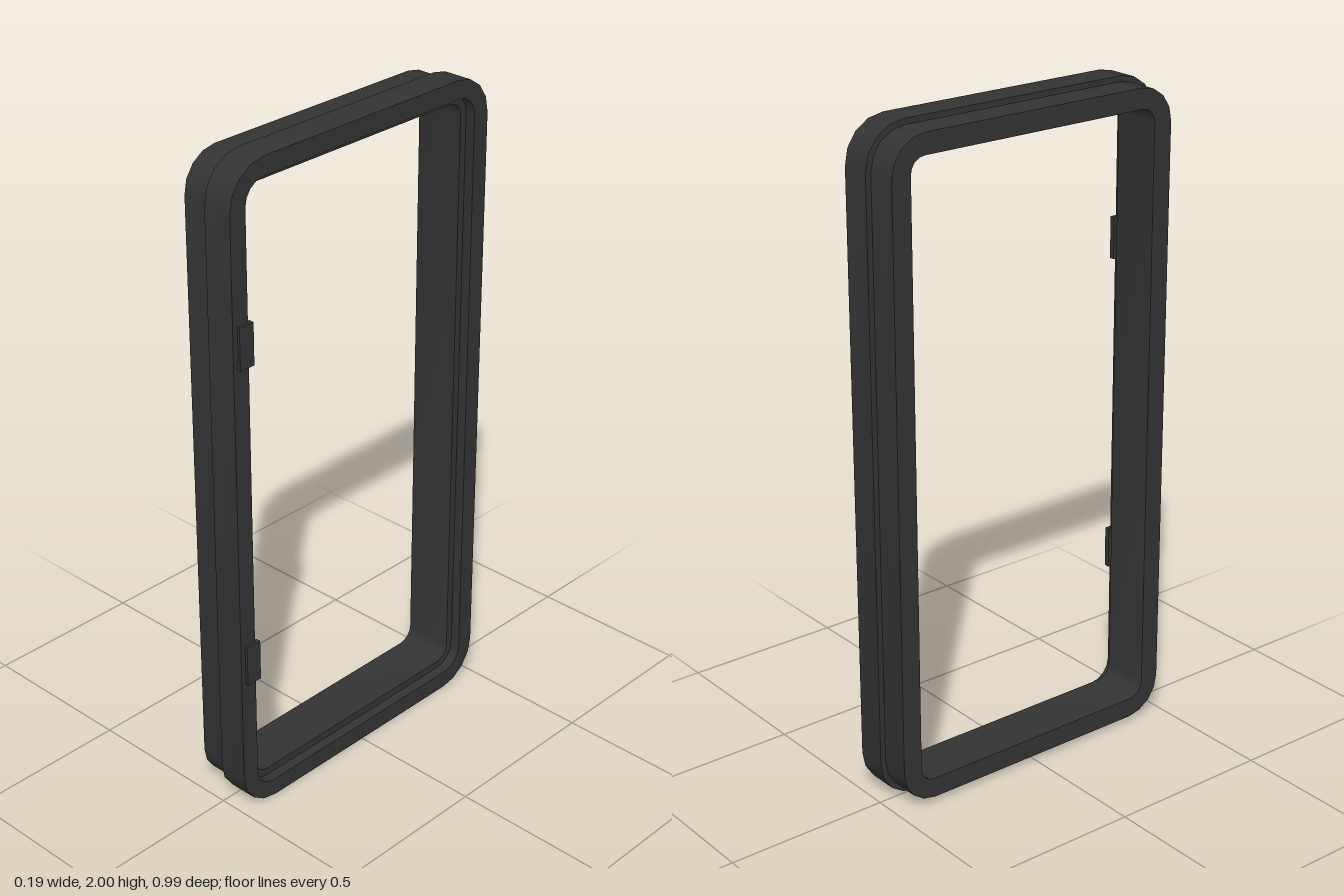
import * as THREE from 'three';
import { toCreasedNormals } from 'three/addons/utils/BufferGeometryUtils.js';

const HALF_Z = 0.497, HALF_Y = 1, CORNER_STEPS = 4;

// Points [z, y] of a rounded rectangle, inset from the outer edge of the frame
function roundedRing(inset, radius) {
  const points = [];
  const corners = [[1, 1], [-1, 1], [-1, -1], [1, -1]];
  corners.forEach(([sz, sy], k) => {
    for (let i = 0; i <= CORNER_STEPS; i++) {
      const a = (k + i / CORNER_STEPS) * Math.PI / 2;
      points.push([
        sz * (HALF_Z - inset - radius) + radius * Math.cos(a),
        sy * (HALF_Y - inset - radius) + radius * Math.sin(a),
      ]);
    }
  });
  return points;
}

// Sweep a closed cross-section of [x, inset, corner radius] around the rectangle
function frameGeometry(profile) {
  const positions = [], index = [];
  for (const [x, inset, radius] of profile) {
    for (const [z, y] of roundedRing(inset, radius)) positions.push(x, y + HALF_Y, z);
  }
  const n = 4 * (CORNER_STEPS + 1), m = profile.length;
  for (let i = 0; i < m; i++) {
    for (let j = 0; j < n; j++) {
      const i2 = (i + 1) % m, j2 = (j + 1) % n;
      const a = i * n + j, b = i2 * n + j, c = i2 * n + j2, d = i * n + j2;
      index.push(a, b, c, a, c, d);
    }
  }
  const geometry = new THREE.BufferGeometry();
  geometry.setAttribute('position', new THREE.Float32BufferAttribute(positions, 3));
  geometry.setIndex(index);
  return toCreasedNormals(geometry, 0.5);
}

export function createModel() {
  const group = new THREE.Group();
  group.name = 'windowFrame';
  const material = new THREE.MeshStandardMaterial({ color: 0x333333 });

  // Frame: narrower rim, wider flange, and a shallow rebate around the opening
  const frame = new THREE.Mesh(frameGeometry([
    [-0.096, 0.017, 0.11],
    [-0.005, 0.017, 0.11],
    [-0.005, 0, 0.125],
    [0.087, 0, 0.125],
    [0.087, 0.055, 0.065],
    [0.056, 0.055, 0.065],
    [0.056, 0.078, 0.045],
    [-0.096, 0.078, 0.045],
  ]), material);
  frame.name = 'frame';
  group.add(frame);

  // Two thin hinge plates on the flange
  for (const [name, y] of [['lowerHinge', 0.507], ['upperHinge', 1.497]]) {
    const hinge = new THREE.Mesh(new THREE.BoxGeometry(0.016, 0.126, 0.051), material);
    hinge.name = name;
    hinge.position.set(0.087, y, 0.455);
    group.add(hinge);
  }
  return group;
}
